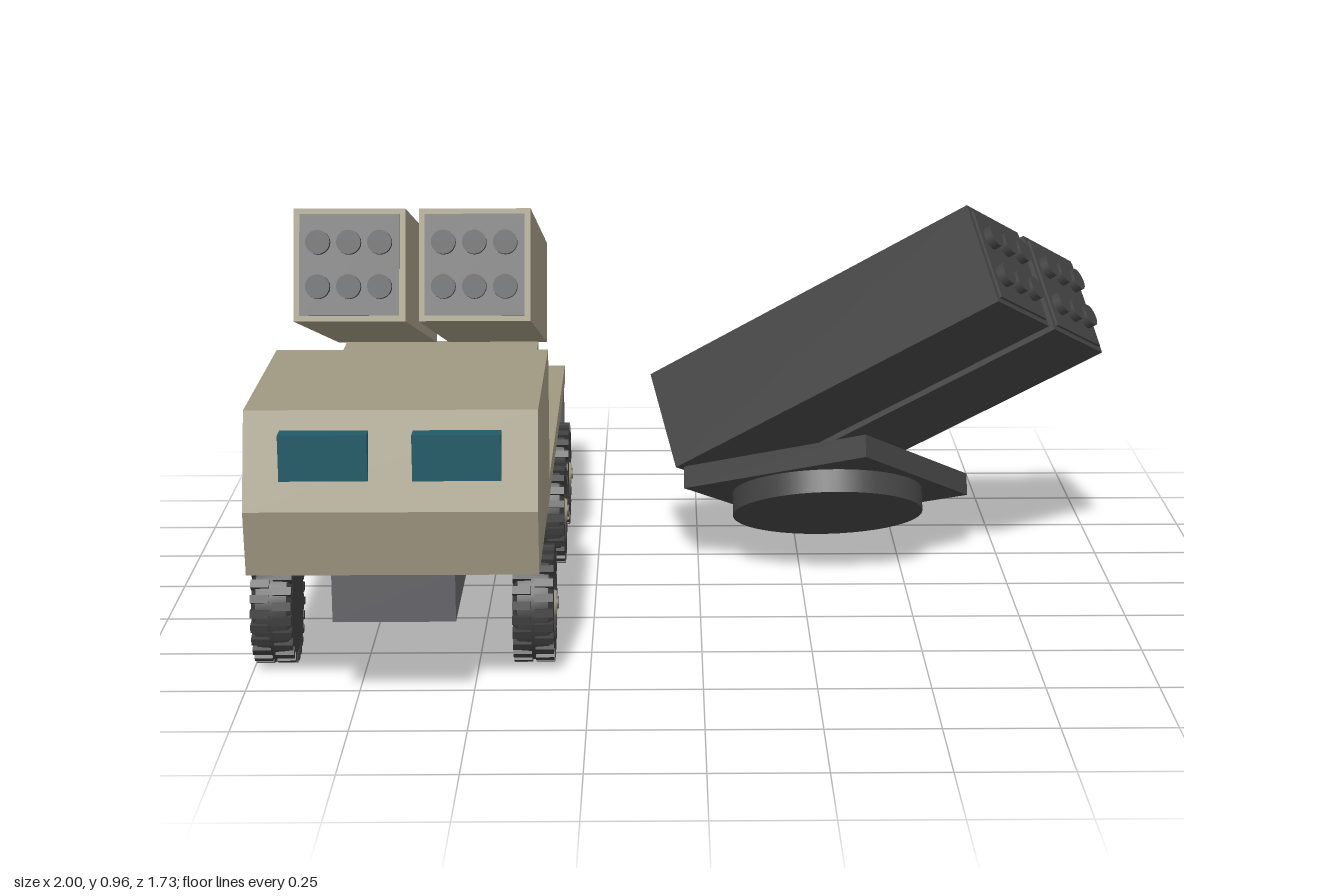
import * as THREE from 'three';
import { toCreasedNormals } from 'three/addons/utils/BufferGeometryUtils.js';

const mat = (name, color) => {
  const m = new THREE.MeshStandardMaterial({ color });
  m.name = name;
  return m;
};

export function createModel() {
  const tan = mat('tan paint', 0x9f9780);
  const chassisGrey = mat('chassis grey', 0x646468);
  const rubber = mat('tyre rubber', 0x3c3c3c);
  const charcoal = mat('charcoal', 0x434343);
  const panelGrey = mat('panel grey', 0x6a696b);
  const capGrey = mat('tube cap grey', 0x4a4b4d);
  const glass = mat('window teal', 0x1f5a66);

  const model = new THREE.Group();
  model.name = 'rocketTruckWithSpareLauncher';

  const add = (parent, name, geo, material, x = 0, y = 0, z = 0) => {
    const m = new THREE.Mesh(geo, material);
    m.name = name;
    m.position.set(x, y, z);
    parent.add(m);
    return m;
  };
  // box given by its limits on each axis
  const span = (parent, name, material, x0, x1, y0, y1, z0, z1) =>
    add(parent, name, new THREE.BoxGeometry(x1 - x0, y1 - y0, z1 - z0), material,
      (x0 + x1) / 2, (y0 + y1) / 2, (z0 + z1) / 2);

  // ---- truck, built around x = 0 and then shifted ----
  const truck = new THREE.Group();
  truck.name = 'truck';
  truck.position.x = -0.663;
  model.add(truck);

  span(truck, 'chassis', chassisGrey, -0.132, 0.132, 0.187, 0.298, -0.858, 0.835);
  span(truck, 'bed', tan, -0.312, 0.312, 0.298, 0.345, -0.86, 0.225);

  // cab: side profile (z, y) extruded across the width
  const profile = new THREE.Shape([
    [0.235, 0.295], [0.845, 0.295], [0.865, 0.44], [0.795, 0.645], [0.235, 0.645],
  ].map(([z, y]) => new THREE.Vector2(z, y)));
  const cab = new THREE.ExtrudeGeometry(profile, { depth: 0.624, bevelEnabled: false });
  cab.rotateY(-Math.PI / 2).translate(0.312, 0, 0);
  add(truck, 'cab', cab, tan);

  for (const s of [-1, 1]) {
    const a = s * 0.047, b = s * 0.235;
    span(truck, 'windscreen', glass, Math.min(a, b), Math.max(a, b), 0.504, 0.604, 0.80, 0.852);
    add(truck, 'supportLeg', new THREE.CylinderGeometry(0.018, 0.018, 0.205, 16), chassisGrey,
      s * 0.293, 0.1975, -0.81);
  }

  // ---- wheels: axis along local y, outer side at +y ----
  const tyreGeo = toCreasedNormals(new THREE.LatheGeometry([
    [0, -0.045], [0.105, -0.045], [0.123, -0.034], [0.126, 0], [0.123, 0.034],
    [0.108, 0.045], [0.08, 0.045], [0.074, 0.03], [0, 0.03],
  ].map(([r, y]) => new THREE.Vector2(r, y)), 40), 0.5);
  const lugGeo = new THREE.BoxGeometry(0.018, 0.041, 0.021);
  const rimGeo = new THREE.CylinderGeometry(0.072, 0.074, 0.01, 32);
  const hubGeo = new THREE.CylinderGeometry(0.026, 0.034, 0.014, 24);
  const hubCapGeo = new THREE.CylinderGeometry(0.014, 0.014, 0.008, 16);
  const holeGeo = new THREE.CylinderGeometry(0.008, 0.008, 0.004, 12);

  const makeWheel = () => {
    const wheel = new THREE.Group();
    wheel.name = 'wheel';
    add(wheel, 'tyre', tyreGeo, rubber);
    add(wheel, 'rim', rimGeo, tan, 0, 0.033, 0);
    add(wheel, 'hub', hubGeo, tan, 0, 0.042, 0);
    add(wheel, 'hubCap', hubCapGeo, panelGrey, 0, 0.049, 0);
    for (let i = 0; i < 10; i++) {
      const t = (i / 10) * Math.PI * 2;
      add(wheel, 'rimHole', holeGeo, rubber, Math.sin(t) * 0.054, 0.037, Math.cos(t) * 0.054);
    }
    // two staggered rows of tread lugs
    for (let i = 0; i < 48; i++) {
      const t = (i / 48) * Math.PI * 2;
      const lug = add(wheel, 'treadLug', lugGeo, rubber,
        Math.sin(t) * 0.1215, i % 2 ? 0.0245 : -0.0245, Math.cos(t) * 0.1215);
      lug.rotation.y = t;
    }
    return wheel;
  };
  for (const z of [0.54, -0.2, -0.54]) {
    for (const s of [-1, 1]) {
      const wheel = makeWheel();
      wheel.position.set(s * 0.288, 0.133, z);
      wheel.rotation.z = -s * Math.PI / 2;
      truck.add(wheel);
    }
  }

  // ---- launcher: origin at the top middle of the pod fronts, turntable level ----
  const tilt = 0.278;
  const makeLauncher = (name, body, panel, cap) => {
    const launcher = new THREE.Group();
    launcher.name = name;
    const pods = new THREE.Group();
    pods.name = 'pods';
    pods.rotation.x = -tilt;
    launcher.add(pods);
    for (const s of [-1, 1]) {
      const x = s * 0.144;
      add(pods, 'pod', new THREE.BoxGeometry(0.257, 0.26, 0.946), body, x, -0.13, -0.473);
      add(pods, 'frontPanel', new THREE.BoxGeometry(0.229, 0.234, 0.008), panel, x, -0.13, 0.002);
      for (let col = -1; col <= 1; col++) {
        for (const row of [-1, 1]) {
          const tube = add(pods, 'tubeCap', new THREE.CylinderGeometry(0.028, 0.028, 0.026, 20),
            cap, x + col * 0.071, -0.13 + row * 0.051, 0.013);
          tube.rotation.x = Math.PI / 2;
        }
      }
    }
    span(launcher, 'turntablePlate', body, -0.25, 0.25, -0.56, -0.505, -0.83, -0.31);
    add(launcher, 'turntableDisc', new THREE.CylinderGeometry(0.235, 0.235, 0.056, 48), body,
      0, -0.588, -0.57);
    return launcher;
  };

  const mounted = makeLauncher('mountedLauncher', tan, panelGrey, capGrey);
  mounted.position.set(0, 0.96, 0.155);
  truck.add(mounted);

  // ---- spare launcher, floating beside the truck at an angle ----
  const spare = makeLauncher('spareLauncher', charcoal, charcoal, charcoal);
  const forward = new THREE.Vector3(0.75, 0.485, 0.315).normalize();
  const side = new THREE.Vector3(0.564, -0.395, -0.725);
  side.addScaledVector(forward, -side.dot(forward)).normalize();
  const up = new THREE.Vector3().crossVectors(forward, side);
  spare.quaternion.setFromRotationMatrix(new THREE.Matrix4().makeBasis(side, up, forward));
  spare.rotateX(tilt);
  spare.position.set(0.784, 0.829, -0.195);
  model.add(spare);

  return model;
}
